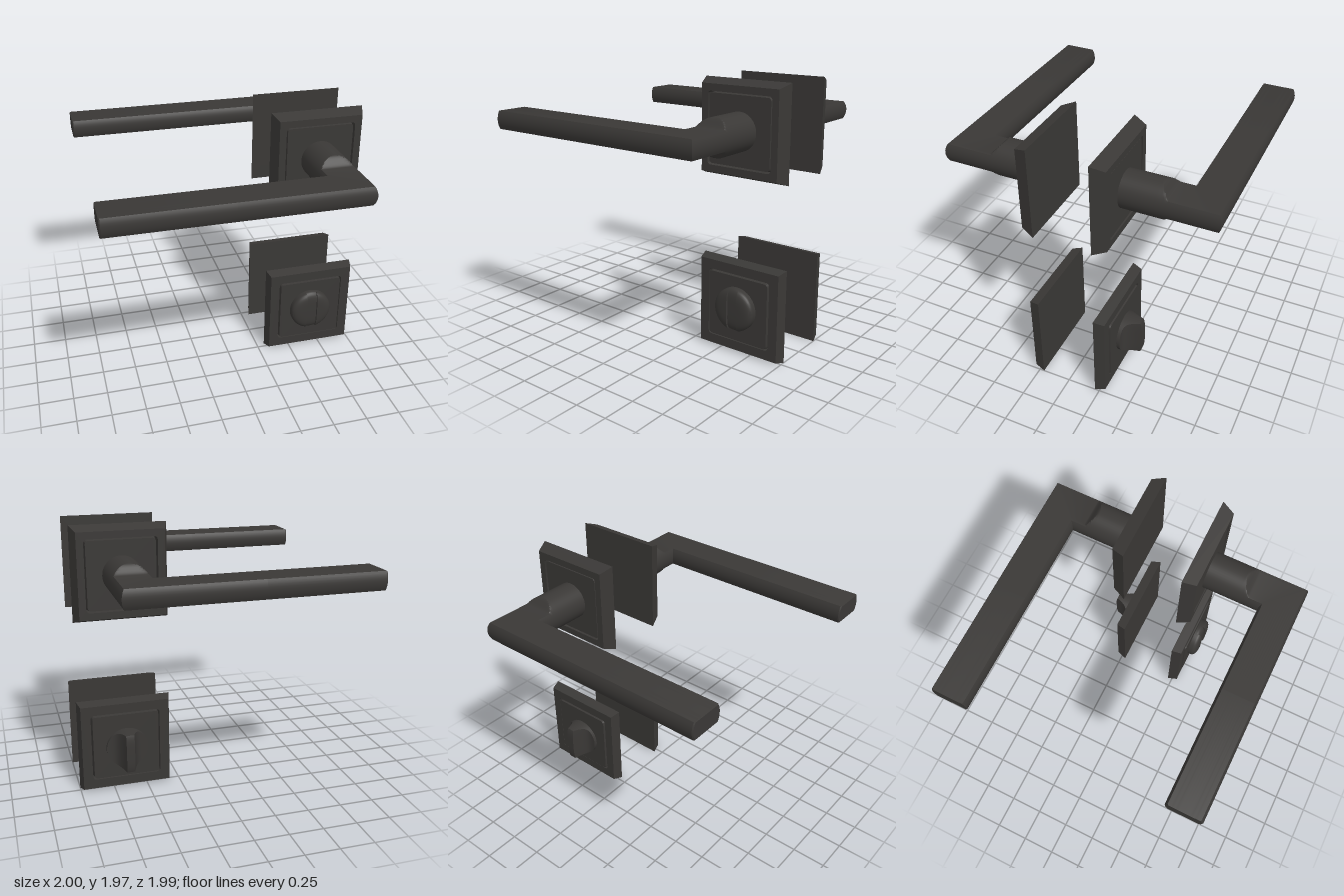
import * as THREE from 'three';
import { toCreasedNormals } from 'three/addons/utils/BufferGeometryUtils.js';

const metal = new THREE.MeshStandardMaterial({ color: 0x3a3836 });

function part(name, geometry, crease = 0.5) {
  const mesh = new THREE.Mesh(toCreasedNormals(geometry, crease), metal);
  mesh.name = name;
  return mesh;
}

// Moves every vertex of a geometry by a rule
function reshape(geometry, rule) {
  const p = geometry.attributes.position, v = new THREE.Vector3();
  for (let i = 0; i < p.count; i++) {
    rule(v.fromBufferAttribute(p, i));
    p.setXYZ(i, v.x, v.y, v.z);
  }
  return geometry;
}

// Square outline with rounded corners, half side h
function square(h, r, Type = THREE.Shape) {
  const s = new Type(), k = h - r;
  s.absarc(k, k, r, 0, Math.PI / 2);
  s.absarc(-k, k, r, Math.PI / 2, Math.PI);
  s.absarc(-k, -k, r, Math.PI, Math.PI * 1.5);
  s.absarc(k, -k, r, Math.PI * 1.5, Math.PI * 2);
  s.closePath();
  return s;
}

// Square backplate with sloping edges and an inner panel set in or out by step
function backplate(half, frontHalf, z0, depth, step) {
  const group = new THREE.Group();
  group.name = 'backplate';
  const inner = 0.255;
  const outline = new THREE.Shape([[-1, -1], [1, -1], [1, 1], [-1, 1]]
    .map(([x, y]) => new THREE.Vector2(x * half, y * half)));
  outline.holes.push(square(inner, 0.025, THREE.Path));
  const opts = (d) => ({ depth: d, bevelEnabled: false, curveSegments: 6 });
  const taper = (geometry, scale, from) => reshape(geometry, (v) => {
    if (v.z > 0.01 && Math.max(Math.abs(v.x), Math.abs(v.y)) > from) {
      v.x *= scale;
      v.y *= scale;
    }
  });
  const frame = part('plateFrame', taper(new THREE.ExtrudeGeometry(outline, opts(depth)), frontHalf / half, inner + 0.01));
  const panel = part('platePanel', taper(new THREE.ExtrudeGeometry(square(inner, 0.025), opts(depth + step)), 0.955, 0));
  group.add(frame, panel);
  group.position.z = z0;
  return group;
}

// Lever: a round section trimmed flat along the grip, mitred into a round neck
function lever() {
  const R = 0.135, flat = 0.067, zc = 0.86, N = 48;
  const rows = [];
  const addRow = (place, h = flat, scale = 1) => {
    const row = [];
    for (let j = 0; j <= N; j++) {
      const a = (j / N) * Math.PI * 2;
      const y = THREE.MathUtils.clamp(R * Math.sin(a), -h, h);
      row.push(place(R * Math.cos(a) * scale, y * scale));
    }
    rows.push(row);
  };
  // grip
  for (const [x, scale] of [[-1.65, 0], [-1.65, 0.95], [-1.642, 1], [-0.8, 1]])
    addRow((s, y) => [x, y, zc + s], flat, scale);
  // mitre
  addRow((s, y) => [s, y, zc + s]);
  // neck swelling to the full circle
  for (let i = 0; i <= 12; i++) {
    const t = i / 12;
    addRow((s, y) => [s, y, 0.65 - 0.085 * t], flat + (R - flat) * THREE.MathUtils.smoothstep(t, 0, 1));
  }
  addRow((s, y) => [s, y, 0.29], R);

  const index = [], W = N + 1;
  for (let i = 0; i < rows.length - 1; i++)
    for (let j = 0; j < N; j++) {
      const a = i * W + j, b = a + W;
      index.push(a, b, a + 1, b, b + 1, a + 1);
    }
  const g = new THREE.BufferGeometry();
  g.setAttribute('position', new THREE.Float32BufferAttribute(rows.flat(2), 3));
  g.setIndex(index);
  return part('leverHandle', g, 0.6);
}

// Round button whose height follows height(x, rho); extra lists added x stations
function button(name, rx, ry, height, extra) {
  const xs = [...extra];
  for (let i = 0; i <= 32; i++) xs.push(-rx * Math.cos((i / 32) * Math.PI));
  xs.sort((a, b) => a - b);
  const n = xs.length - 1;
  const g = new THREE.BoxGeometry(1, 2, 1, n, 20, 1);
  reshape(g, (v) => {
    const x = xs[Math.round((v.x + 0.5) * n)];
    const u = x / rx;
    const w = Math.sin(v.y * Math.PI / 2) * Math.sqrt(Math.max(0, 1 - u * u));
    v.set(x, w * ry, v.z > 0 ? height(x, Math.min(1, Math.hypot(u, w))) : 0);
  });
  return part(name, g, 0.6);
}

export function createModel() {
  const model = new THREE.Group();
  model.name = 'doorHandleSet';

  for (const side of ['front', 'back']) {
    const turn = side === 'front' ? 0 : Math.PI;

    // Lever on its plate
    const upper = new THREE.Group();
    upper.name = side + 'LeverSet';
    upper.add(backplate(0.34, 0.305, 0.215, 0.098, -0.006), lever());
    upper.position.set(0.65, 1.626, 0);
    upper.rotation.x = turn;

    // Lock plate with a slotted release in front and a thumb turn behind
    const lower = new THREE.Group();
    lower.name = side + 'LockSet';
    lower.add(backplate(0.345, 0.325, 0.215, 0.077, 0.008));
    let knob;
    if (side === 'front') {
      knob = button('slottedRelease', 0.16, 0.16, (x, rho) =>
        0.04 + 0.042 * Math.sqrt(1 - rho ** 5) - (Math.abs(x) < 0.04 ? 0.014 : 0),
      [-0.0405, -0.0395, 0.0395, 0.0405]);
      knob.position.set(-0.005, 0.007, 0.29);
    } else {
      knob = button('thumbTurn', 0.153, 0.145, (x, rho) => {
        const t = Math.max(0, (Math.abs(x) - 0.03) / 0.123);
        return 0.035 + (0.125 - 0.012 * rho ** 4) * Math.max(0, 1 - t) ** 4;
      }, [-0.045, -0.036, -0.03, 0.03, 0.036, 0.045]);
      knob.position.set(-0.003, 0.01, 0.29);
    }
    lower.add(knob);
    lower.position.set(0.655, 0.345, 0);
    lower.rotation.x = turn;

    model.add(upper, lower);
  }
  return model;
}
